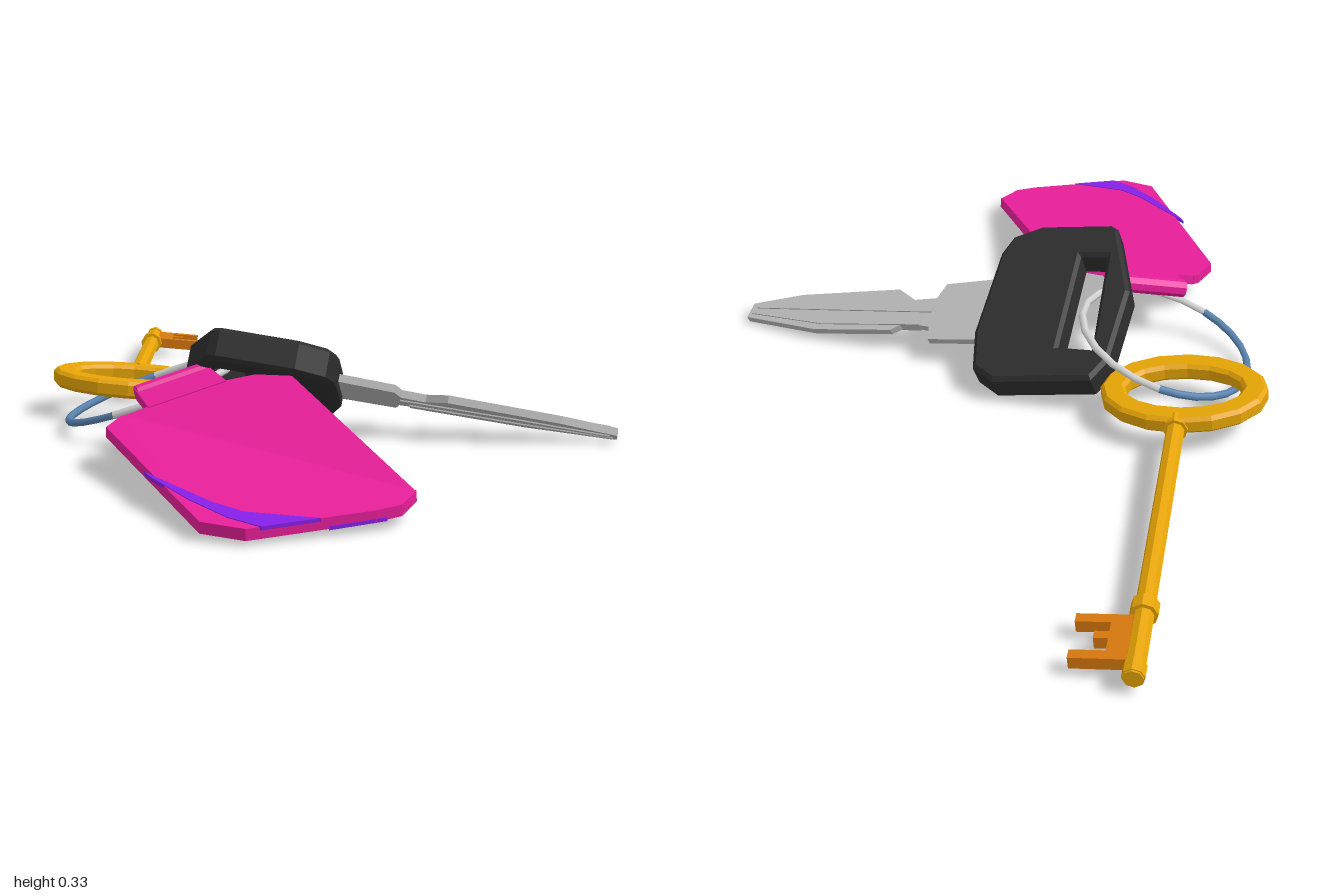
import * as THREE from 'three';

const material = (name, color) => {
  const m = new THREE.MeshStandardMaterial({ color });
  m.name = name;
  return m;
};

// A flat plane through height c at (x0, z0) with slopes gx and gz
const plane = (x0, z0, c, gx, gz) => ({
  at: (x, z) => c + gx * (x - x0) + gz * (z - z0),
  normal: new THREE.Vector3(-gx, 1, -gz).normalize(),
});

// Ground-plan [x, z] points as a counter-clockwise outline
function outline(points) {
  const vecs = points.map(([x, z]) => new THREE.Vector2(x, -z));
  return THREE.ShapeUtils.isClockWise(vecs) ? vecs.reverse() : vecs;
}

// Extrudes an outline and lays it on a tilted plane
function plateGeometry(points, tilt, thick, bevel = 0, hole = null) {
  const shape = new THREE.Shape(outline(points));
  if (hole) shape.holes.push(new THREE.Path(outline(hole).reverse()));
  const depth = thick - 2 * bevel;
  const geo = new THREE.ExtrudeGeometry(shape, {
    depth, bevelEnabled: bevel > 0, bevelSize: bevel, bevelThickness: bevel,
    bevelOffset: -bevel, bevelSegments: 1,
  });
  geo.translate(0, 0, -depth / 2);
  geo.rotateX(-Math.PI / 2);
  const pos = geo.attributes.position;
  const v = new THREE.Vector3();
  for (let i = 0; i < pos.count; i++) {
    v.fromBufferAttribute(pos, i);
    const t = v.y;
    v.y = tilt.at(v.x, v.z);
    v.addScaledVector(tilt.normal, t);
    pos.setXYZ(i, v.x, v.y, v.z);
  }
  geo.computeVertexNormals();
  return geo;
}

// Faceted rod between two points
function rodGeometry(a, b, radius, sides = 8) {
  const from = new THREE.Vector3(...a), to = new THREE.Vector3(...b);
  const dir = to.clone().sub(from);
  const geo = new THREE.CylinderGeometry(radius, radius, dir.length(), sides).toNonIndexed();
  geo.computeVertexNormals();
  geo.applyQuaternion(new THREE.Quaternion().setFromUnitVectors(
    new THREE.Vector3(0, 1, 0), dir.normalize()));
  const mid = from.add(to).multiplyScalar(0.5);
  return geo.translate(mid.x, mid.y, mid.z);
}

// Gives downward faces the second material of a pair
function splitUnderside(geo) {
  const normal = geo.attributes.normal;
  geo.clearGroups();
  for (let i = 0; i < normal.count; i += 3) geo.addGroup(i, 3, normal.getY(i) < -0.15 ? 1 : 0);
  return geo;
}

export function createModel() {
  const model = new THREE.Group();
  model.name = 'keyBunch';
  const gold = material('gold', 0xe6a406);
  const bronze = material('bronze', 0xd6780e);
  const plastic = material('blackPlastic', 0x2d2d2d);
  const steel = material('steel', 0xb6b6b6);
  const bright = material('brightSteel', 0xd4d4d4);
  const blue = material('blueSteel', 0x5a84b0);
  blue.side = bright.side = THREE.DoubleSide;
  const pink = material('pink', 0xee209e);
  const purple = material('purple', 0x8c22f0);

  const group = (name) => {
    const g = new THREE.Group();
    g.name = name;
    model.add(g);
    return g;
  };
  const add = (parent, name, geo, mat) => {
    const mesh = new THREE.Mesh(geo, mat);
    mesh.name = name;
    parent.add(mesh);
  };

  // Split ring, tilted, in two finishes
  const ring = group('splitRing');
  const arc = (name, startDeg, endDeg, mat) => {
    const pts = [];
    for (let i = 0; i <= 10; i++) {
      const a = THREE.MathUtils.degToRad(startDeg + (endDeg - startDeg) * i / 10);
      const dx = 0.242 * Math.cos(a), dz = 0.236 * Math.sin(a);
      pts.push(new THREE.Vector3(-0.147 + dx, 0.11 + 0.2 * dx + 0.3 * dz, -0.124 + dz));
    }
    add(ring, name, new THREE.TubeGeometry(new THREE.CatmullRomCurve3(pts), 12, 0.011, 6), mat);
  };
  arc('ringFront', -40, 165, bright);
  arc('ringBack', 165, 320, blue);

  // Old gold key: oval bow, shaft, collars and toothed bit
  const oldKey = group('goldKey');
  const along = [0.79, -0.61], across = [0.61, 0.79];
  const local = (ox, oz, s, t) => [
    ox + s * along[0] + t * across[0], oz + s * along[1] + t * across[1]];
  const oval = (a, b) => Array.from({ length: 16 }, (_, i) => {
    const k = i / 16 * Math.PI * 2;
    return local(-0.01, -0.325, a * Math.cos(k), b * Math.sin(k));
  });
  add(oldKey, 'bow', plateGeometry(oval(0.168, 0.232), plane(-0.01, -0.325, 0.09, -0.05, -0.05),
    0.05, 0.01, oval(0.098, 0.163)), gold);

  const shaftStart = [0.1, 0.083, -0.4], shaftEnd = [0.86, 0.046, -0.982];
  const onShaft = (k) => shaftStart.map((s, i) => s + (shaftEnd[i] - s) * k);
  const shaftPart = (name, k0, k1, r) => add(oldKey, name,
    splitUnderside(rodGeometry(onShaft(k0), onShaft(k1), r)), [gold, bronze]);
  shaftPart('shaft', 0, 1, 0.025);
  for (const [k, r] of [[0.02, 0.034], [0.765, 0.035], [0.975, 0.028]]) {
    shaftPart('collar', k - 0.02, k + 0.02, r);
  }
  const comb = [[0.03, 0], [0.03, 0.16], [0.058, 0.16], [0.058, 0.075], [0.088, 0.075],
    [0.088, 0.11], [0.112, 0.11], [0.112, 0.075], [0.152, 0.075], [0.152, 0.16],
    [0.18, 0.16], [0.18, 0]];
  add(oldKey, 'bit', plateGeometry(comb.map(([s, t]) => local(0.68, -0.85, s, t)),
    plane(0.82, -0.88, 0.044, -0.06, -0.06), 0.032), bronze);

  // Modern key: slotted plastic head and ridged steel blade on one plane
  const carKey = group('modernKey');
  const keyTilt = plane(0.015, 0.16, 0.165, -0.45, 0.1);
  add(carKey, 'head', plateGeometry(
    [[-0.26, 0.17], [-0.125, -0.01], [0.07, -0.12], [0.14, -0.12], [0.295, 0.12], [0.295, 0.2],
      [0.21, 0.285], [-0.02, 0.42], [-0.08, 0.43], [-0.15, 0.38], [-0.26, 0.2]],
    keyTilt, 0.09, 0.011,
    [[-0.175, 0.13], [0.07, -0.055], [0.115, 0.035], [-0.135, 0.2]]), plastic);
  add(carKey, 'blade', plateGeometry(
    [[0.0, 0.33], [0.18, 0.22], [0.295, 0.41], [0.265, 0.44], [0.295, 0.515], [0.335, 0.535],
      [0.46, 0.745], [0.548, 0.97], [0.505, 0.99], [0.4, 0.875], [0.225, 0.62], [0.225, 0.55],
      [0.185, 0.495], [0.135, 0.505], [0.055, 0.4]],
    keyTilt, 0.022), steel);
  for (const [x0, x1, x2] of [[0.205, 0.36, 0.5], [0.255, 0.415, 0.522]]) {
    add(carKey, 'bladeRidge', plateGeometry(
      [[x0, 0.48], [x0 + 0.022, 0.47], [x1 + 0.022, 0.74], [x2 + 0.01, 0.965], [x2, 0.97],
        [x1, 0.75]], keyTilt, 0.03), steel);
  }

  // Bent fob: shallow outer half, steeper inner half, loop for the ring
  const fob = group('fob');
  const outer = (lift) => plane(-0.47, 0.5, 0.075 + lift, 0.08, -0.065);
  const inner = (lift) => plane(-0.47, 0.5, 0.075 + lift, 0.33, -0.065);
  const thick = 0.028;
  add(fob, 'fobOuter', plateGeometry(
    [[-0.93, 0.685], [-0.9, 0.79], [-0.63, 0.95], [-0.565, 0.975], [-0.47, 0.953],
      [-0.47, 0.066], [-0.49, 0.062], [-0.58, 0.092]], outer(0), thick), pink);
  add(fob, 'fobInner', plateGeometry(
    [[-0.47, 0.066], [-0.47, 0.953], [-0.14, 0.36], [-0.17, 0.26], [-0.23, 0.2], [-0.42, 0.09]],
    inner(0), thick), pink);
  add(fob, 'fobTab', plateGeometry(
    [[-0.355, -0.01], [-0.175, 0.09], [-0.23, 0.21], [-0.42, 0.1]], inner(0), 0.034), pink);
  const hinge = (x, z) => [x, inner(0).at(x, z), z];
  add(fob, 'fobLoop', rodGeometry(hinge(-0.36, 0.005), hinge(-0.18, 0.105), 0.026), pink);

  // Painted stripes: one across the left corner on top, its mirror underneath
  const lift = 0.0115, paint = 0.009;
  add(fob, 'topStripe', plateGeometry(
    [[-0.772, 0.388], [-0.825, 0.64], [-0.825, 0.73], [-0.75, 0.883], [-0.872, 0.811],
      [-0.875, 0.72], [-0.845, 0.585], [-0.788, 0.418]], outer(lift), paint), purple);
  add(fob, 'bottomStripeOuter', plateGeometry(
    [[-0.47, 0.832], [-0.557, 0.885], [-0.732, 0.892], [-0.606, 0.962], [-0.523, 0.923],
      [-0.47, 0.878]], outer(-lift), paint), purple);
  add(fob, 'bottomStripeInner', plateGeometry(
    [[-0.47, 0.832], [-0.47, 0.878], [-0.42, 0.83], [-0.31, 0.67], [-0.295, 0.643]],
    inner(-lift), paint), purple);

  // Rest on the ground
  model.position.y = -new THREE.Box3().setFromObject(model, true).min.y;
  return model;
}
